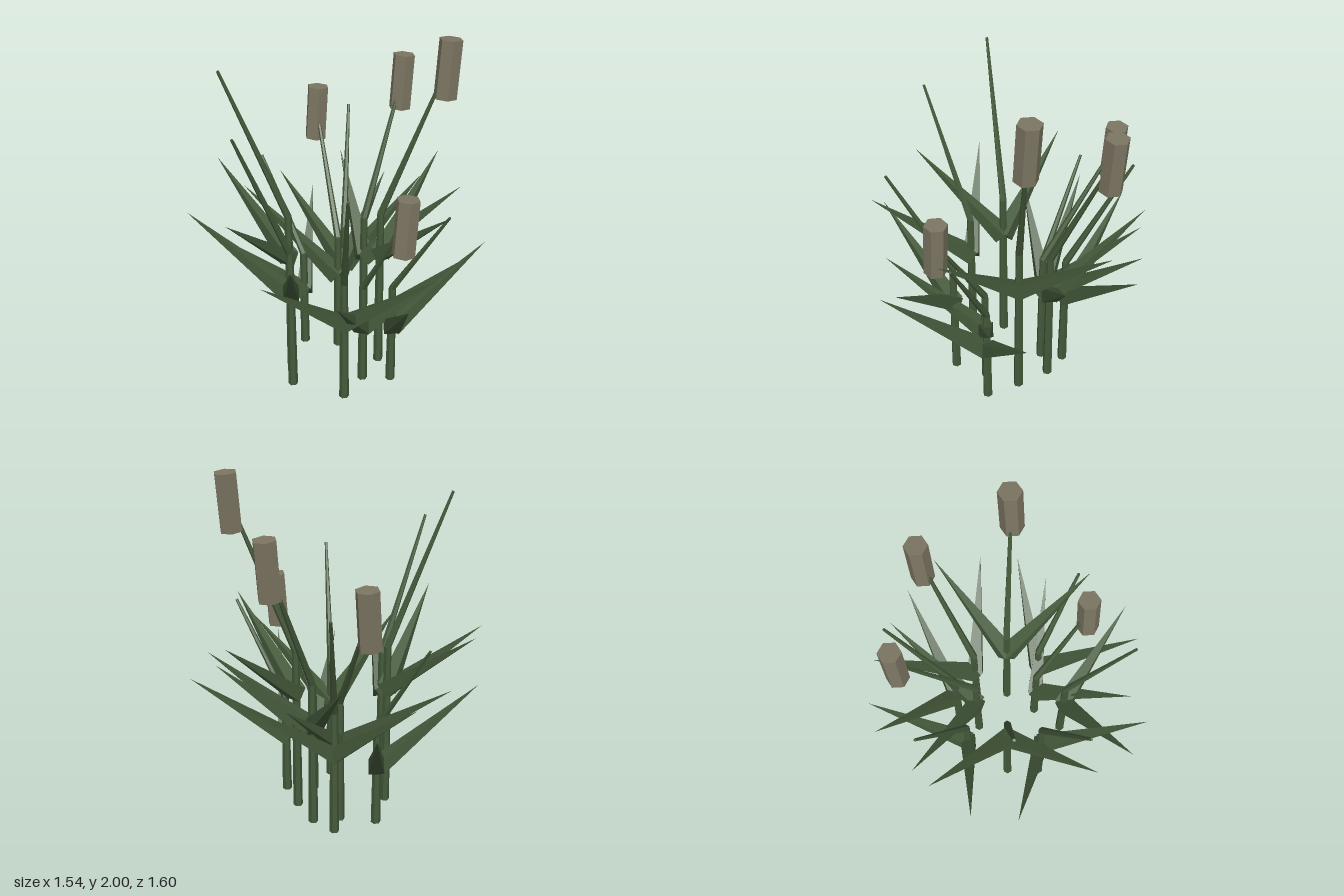
import * as THREE from 'three';

const flat = (name, color) => {
  const m = new THREE.MeshStandardMaterial({ color, flatShading: true });
  m.name = name;
  return m;
};

// A tapered prism running from point a to point b
function taper(name, a, b, r0, r1, sides, mat) {
  const dir = b.clone().sub(a);
  const geo = new THREE.CylinderGeometry(r1, r0, dir.length(), sides);
  const mesh = new THREE.Mesh(geo, mat);
  mesh.name = name;
  mesh.position.copy(a).add(b).multiplyScalar(0.5);
  mesh.quaternion.setFromUnitVectors(new THREE.Vector3(0, 1, 0), dir.normalize());
  return mesh;
}

// A four-sided blade with a flat upper face, thinning to a point
function blade(a, b, width, thick, mat) {
  const dir = b.clone().sub(a);
  const geo = new THREE.ConeGeometry(Math.SQRT1_2, 1, 4);
  geo.rotateY(Math.PI / 4);
  geo.translate(0, 0.5, 0);
  geo.scale(width, dir.length(), thick);
  geo.rotateX(Math.PI / 2); // length along +z, thickness along y
  const mesh = new THREE.Mesh(geo, mat);
  mesh.name = 'leaf';
  mesh.position.copy(a);
  mesh.lookAt(b);
  return mesh;
}

// base [x, z], bend height, shoot tip [x, z], two leaf tips [x, z], seed head or not
const reeds = [
  { base: [-0.245, -0.165], bend: 0.99, tip: [-0.55, -0.32], leaves: [[-0.77, 0.06], [-0.36, -0.72]] },
  { base: [0.195, 0.11], bend: 0.99, tip: [0.465, 0.31], leaves: [[0.2, 0.67], [0.74, 0.03 - 0.06]], head: true },
  { base: [-0.35, 0], bend: 0.87, tip: [-0.69, 0.03], leaves: [[-0.74, -0.41], [-0.66, 0.47]] },
  { base: [0.235, -0.09], bend: 0.87, tip: [0.57, -0.18], leaves: [[0.68, 0.24], [0.45, -0.61]], head: true },
  { base: [-0.185, 0.275], bend: 0.75, tip: [-0.37, 0.55], leaves: [[-0.75, 0.33], [0, 0.8]] },
  { base: [0.205, -0.245], bend: 0.75, tip: [0.43, -0.5], leaves: [[0.77, -0.21], [0.12, -0.8]] },
  { base: [0.1, -0.165], bend: 0.75, tip: [0.235, -0.555], leaves: [[-0.18, -0.74], [0.64, -0.4]], head: true },
  { base: [0.005, 0.2], bend: 0.62, tip: [0.015, 0.535], leaves: [[-0.44, 0.55], [0.45, 0.55]], head: true },
  { base: [0.135, 0.3], bend: 0.62, tip: [0.24, 0.62], leaves: [[-0.17, 0.79], [0.66, 0.48]] },
  { base: [-0.04, -0.32], bend: 0.62, tip: [-0.1, -0.65], leaves: [[-0.54, -0.59], [0.33, -0.74]] },
];

export function createModel() {
  const group = new THREE.Group();
  group.name = 'reeds';
  const green = flat('reedGreen', 0x44593a);
  const brown = flat('seedHeadBrown', 0x7b7561);

  for (const { base: [x, z], bend, tip, leaves, head } of reeds) {
    const reed = new THREE.Group();
    reed.name = 'reed';
    const knee = new THREE.Vector3(x, bend, z);
    // taller reeds also carry longer shoots
    const tipY = 1.16 + (bend - 0.62) * 1.89;
    const end = new THREE.Vector3(tip[0], tipY, tip[1]);

    // upright stem and leaning shoot
    reed.add(taper('stem', new THREE.Vector3(x, 0, z), knee, 0.028, 0.021, 6, green));
    reed.add(taper('shoot', knee, end, 0.021, 0.008, 6, green));

    // pair of leaves
    for (const [lx, lz] of leaves) {
      reed.add(blade(new THREE.Vector3(x, bend - 0.26, z),
        new THREE.Vector3(lx, bend + 0.2, lz), 0.09, 0.085, green));
    }

    // seed head, leaning slightly sideways
    if (head) {
      const mesh = new THREE.Mesh(new THREE.CylinderGeometry(0.064, 0.064, 0.317, 6), brown);
      mesh.name = 'seedHead';
      mesh.geometry.rotateY(Math.PI / 2);
      mesh.position.set(tip[0], tipY - 0.022, tip[1]);
      mesh.rotation.z = -0.075;
      reed.add(mesh);
    }
    group.add(reed);
  }
  return group;
}
